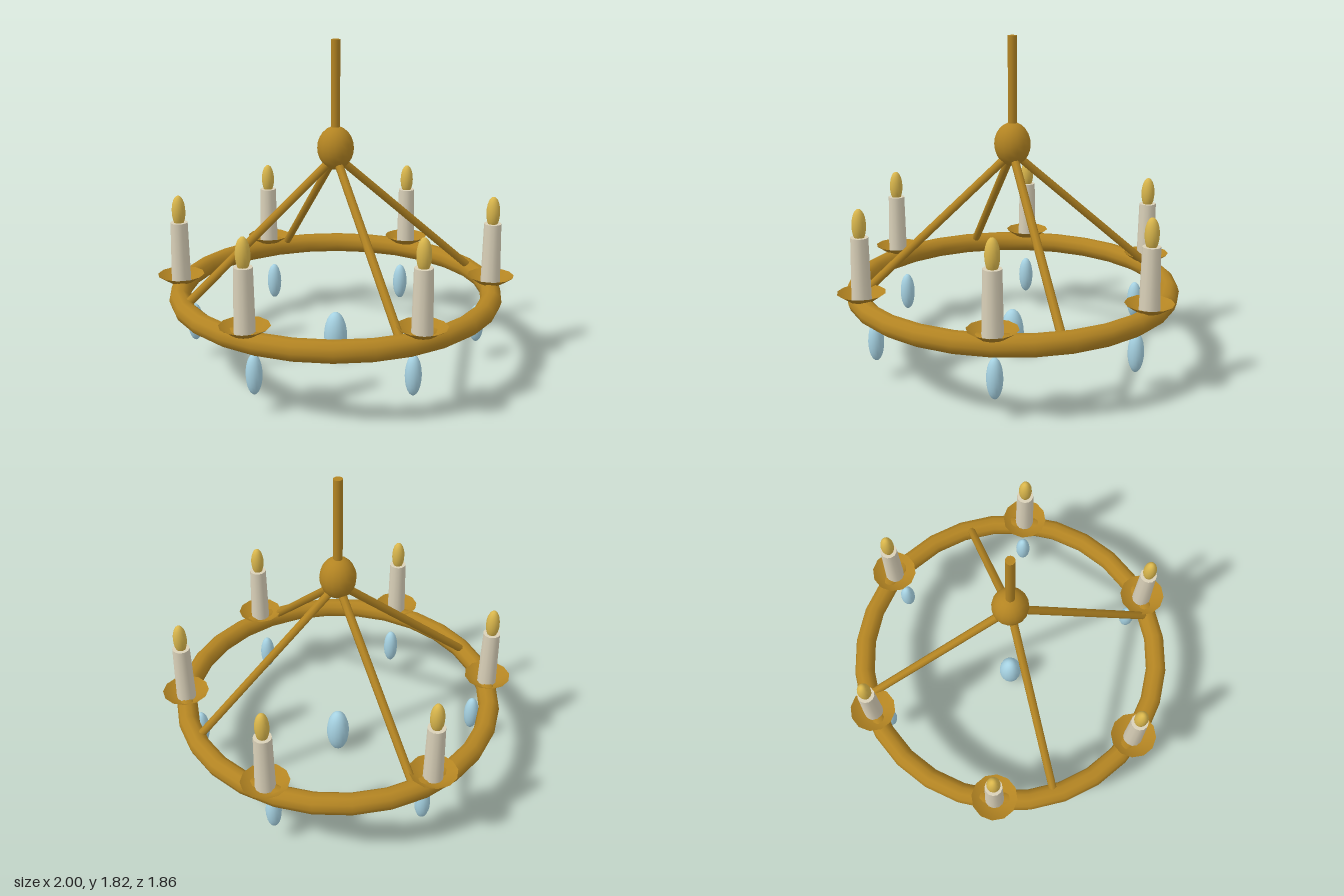
import * as THREE from 'three';

const mat = (name, color, side = THREE.FrontSide) =>
  Object.assign(new THREE.MeshStandardMaterial({ color, side }), { name });

export function createModel() {
  const brass = mat('brass', 0xb38422);
  const brassDish = mat('brass', 0xb38422, THREE.DoubleSide);
  const wax = mat('wax', 0xd9d0b8);
  const flame = mat('flame', 0xd9b64c);
  const crystal = mat('crystal', 0xa6d2e2);

  const model = new THREE.Group();
  model.name = 'chandelier';

  const add = (name, geometry, material, x, y, z, parent = model) => {
    const mesh = new THREE.Mesh(geometry, material);
    mesh.name = name;
    mesh.position.set(x, y, z);
    parent.add(mesh);
    return mesh;
  };
  const ellipsoid = (rx, ry) => new THREE.SphereGeometry(1, 16, 12).scale(rx, ry, rx);

  // Hanging rod and hub
  add('rod', new THREE.CylinderGeometry(0.025, 0.025, 0.54, 12), brass, 0, 1.55, 0);
  add('hub', ellipsoid(0.1, 0.12), brass, 0, 1.235, 0);

  // Main ring
  const ring = new THREE.TorusGeometry(0.87, 0.058, 10, 28).rotateX(Math.PI / 2);
  add('ring', ring, brass, 0, 0.423, 0);

  // Four sloping arms from the hub to the ring
  const up = new THREE.Vector3(0, 1, 0);
  for (let i = 0; i < 4; i++) {
    const a = -Math.PI / 8 + (i * Math.PI) / 2;
    const at = (r, y) => new THREE.Vector3(r * Math.cos(a), y, r * Math.sin(a));
    const start = at(0.02, 1.175), end = at(0.84, 0.46);
    const dir = start.clone().sub(end);
    const mid = start.clone().add(end).multiplyScalar(0.5);
    const arm = add('arm', new THREE.CylinderGeometry(0.023, 0.023, dir.length(), 8), brass, mid.x, mid.y, mid.z);
    arm.quaternion.setFromUnitVectors(up, dir.normalize());
  }

  // Six candles on dishes, each with a crystal drop below
  const dishProfile = [[0, 0.464], [0.07, 0.467], [0.13, 0.508]].map(p => new THREE.Vector2(...p));
  const dish = new THREE.LatheGeometry(dishProfile, 12);
  const candle = new THREE.CylinderGeometry(0.048, 0.055, 0.34, 12);
  const flameShape = ellipsoid(0.038, 0.09);
  const drop = ellipsoid(0.043, 0.11);
  for (let i = 0; i < 6; i++) {
    const a = (i * Math.PI) / 3, c = Math.cos(a), s = Math.sin(a);
    const holder = new THREE.Group();
    holder.name = 'candleHolder';
    holder.position.set(0.87 * c, 0, 0.87 * s);
    model.add(holder);
    add('dish', dish, brassDish, 0, 0, 0, holder);
    add('candle', candle, wax, 0, 0.64, 0, holder);
    add('flame', flameShape, flame, 0, 0.873, 0, holder);
    add('crystalDrop', drop, crystal, 0.8 * c, 0.22, 0.8 * s);
  }

  // Large central drop
  add('centralDrop', ellipsoid(0.066, 0.14), crystal, 0, 0.14, 0);

  return model;
}
